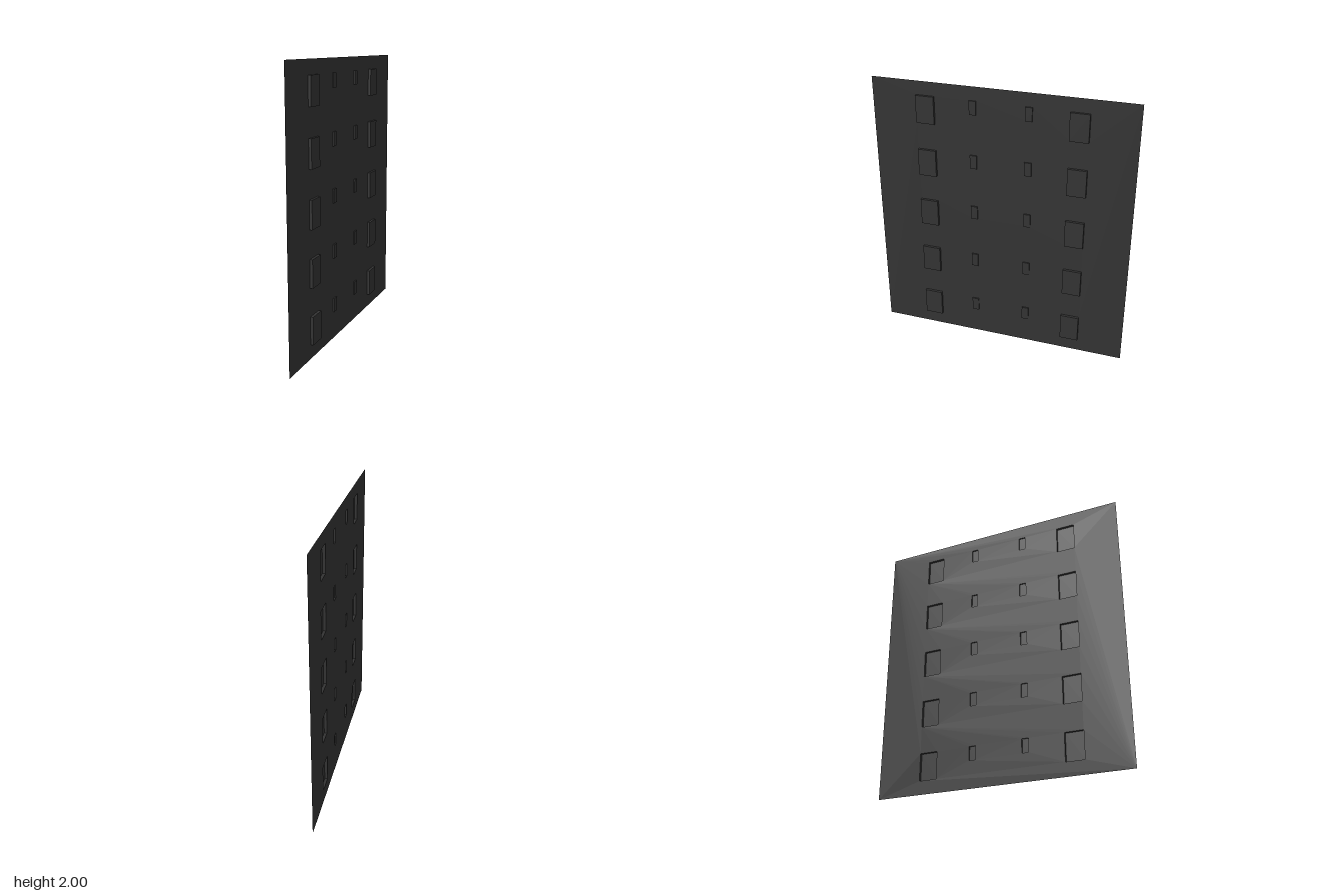
import * as THREE from 'three';

const HALF_WIDTH = 0.95, HEIGHT = 2, SHEET_X = -0.01;
const ROWS = 5, ROW_STEP = 0.4;

// Raised panels of one row: z centre, width, bottom, height, depth
const PANELS = [
  { name: 'largePanel', z: 0.55, w: 0.135, y: 0.1, h: 0.2, d: 0.02 },
  { name: 'smallPanel', z: 0.2, w: 0.05, y: 0.2, h: 0.1, d: 0.01 },
];

const material = new THREE.MeshStandardMaterial({ color: 0x333333, side: THREE.DoubleSide });

function rectangle(path, x0, y0, x1, y1) {
  path.moveTo(x0, y0);
  path.lineTo(x1, y0);
  path.lineTo(x1, y1);
  path.lineTo(x0, y1);
  path.closePath();
  return path;
}

// Box without its -x face, so it is hollow from behind
function openBox(d, h, w) {
  const geometry = new THREE.BoxGeometry(d, h, w);
  const index = Array.from(geometry.index.array);
  index.splice(6, 6);
  geometry.setIndex(index);
  geometry.clearGroups();
  return geometry;
}

export function createModel() {
  const model = new THREE.Group();
  model.name = 'wallPanel';
  const sheetShape = rectangle(new THREE.Shape(), -HALF_WIDTH, 0, HALF_WIDTH, HEIGHT);

  // Panels in mirrored columns, each over an opening in the sheet
  for (const p of PANELS) {
    const geometry = openBox(p.d, p.h, p.w);
    for (let row = 0; row < ROWS; row++) {
      const y = p.y + row * ROW_STEP;
      for (const side of [-1, 1]) {
        const z = side * p.z;
        const panel = new THREE.Mesh(geometry, material);
        panel.name = p.name;
        panel.position.set(SHEET_X + p.d / 2, y + p.h / 2, z);
        model.add(panel);
        sheetShape.holes.push(
          rectangle(new THREE.Path(), z - p.w / 2, y, z + p.w / 2, y + p.h));
      }
    }
  }

  // Thin wall sheet facing +x
  const sheet = new THREE.Mesh(new THREE.ShapeGeometry(sheetShape), material);
  sheet.name = 'wallSheet';
  sheet.rotation.y = Math.PI / 2;
  sheet.position.x = SHEET_X;
  model.add(sheet);
  return model;
}
